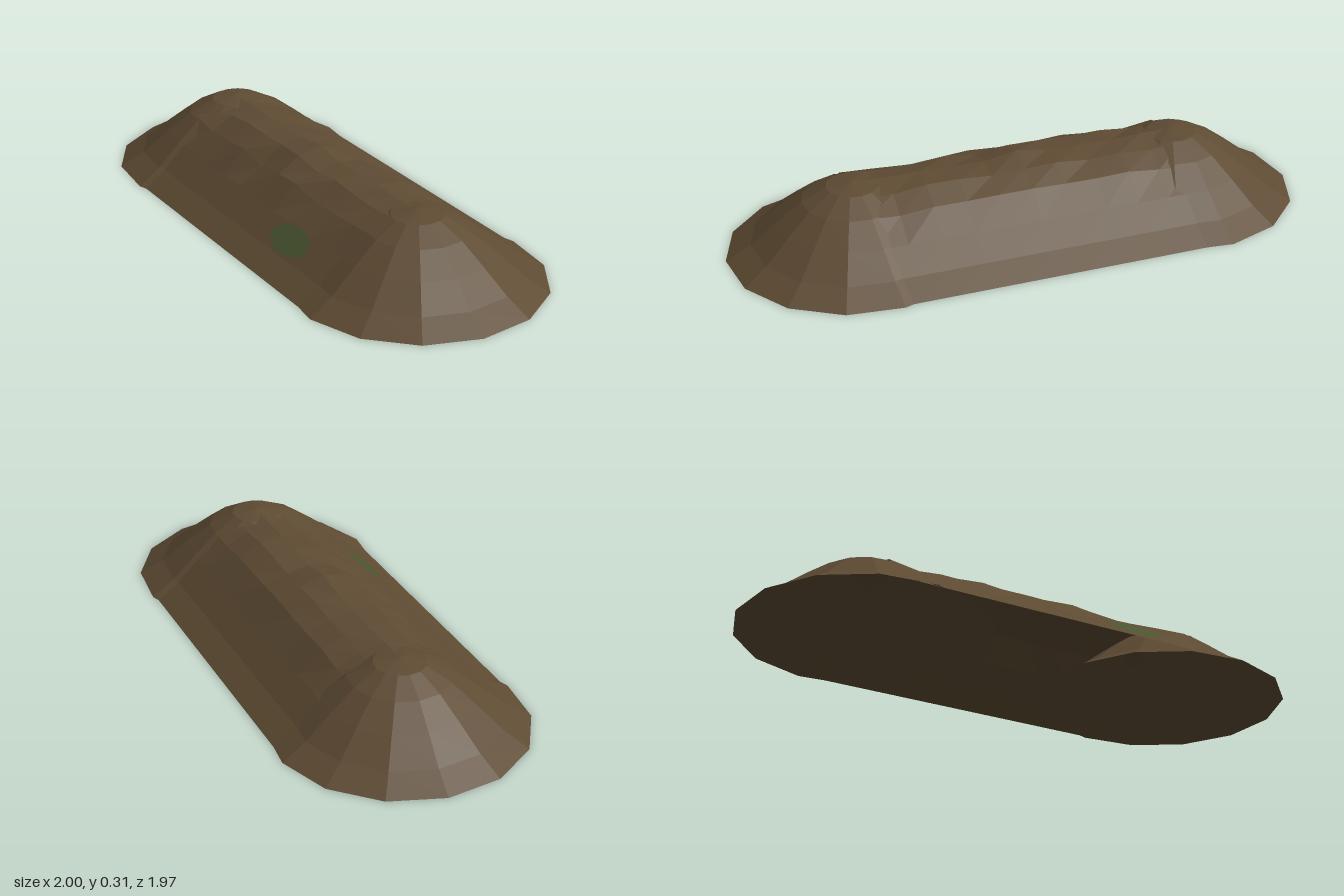
import * as THREE from 'three';

const earth = new THREE.MeshStandardMaterial({ color: 0x5e4b33, side: THREE.DoubleSide });
earth.name = 'earth brown';
const moss = new THREE.MeshStandardMaterial({ color: 0x4a5630, side: THREE.DoubleSide });
moss.name = 'moss green';

// Bell-shaped slope: [distance from the crest, height]
const SLOPE = [[0.515, 0], [0.415, 0.06], [0.31, 0.145], [0.205, 0.225], [0.105, 0.278], [0, 0.295]];
const END = 0.485; // x and z of the rounded ends
const HALF_LENGTH = END * Math.SQRT2;

function faceted(geometry) {
  const flat = geometry.toNonIndexed();
  flat.computeVertexNormals();
  return flat;
}

function addMesh(parent, name, geometry, material) {
  const mesh = new THREE.Mesh(geometry, material);
  mesh.name = name;
  parent.add(mesh);
  return mesh;
}

function seeded(seed) {
  return () => {
    seed = (seed * 16807) % 2147483647;
    return seed / 2147483647;
  };
}

// Long bank: a grid bent to the slope, with a slightly uneven crest
function bankGeometry() {
  const crest = [0.29, 0.288, 0.281, 0.284, 0.287, 0.305, 0.282, 0.283, 0.287, 0.284, 0.29];
  const random = seeded(41);
  const geometry = new THREE.PlaneGeometry(HALF_LENGTH * 2, 1, 10, 10);
  geometry.rotateX(-Math.PI / 2);
  const p = geometry.attributes.position;
  for (let i = 0; i < p.count; i++) {
    const column = i % 11;
    const ring = 5 - Math.abs(Math.floor(i / 11) - 5); // 0 at the foot, 5 at the crest
    const [distance, height] = SLOPE[ring];
    const rough = ring > 2 && ring < 5 ? (random() - 0.5) * 0.026 : 0;
    p.setZ(i, Math.sign(p.getZ(i)) * distance * 0.97);
    p.setY(i, ring === 5 ? crest[column] : height * 0.98 + rough);
  }
  return faceted(geometry);
}

export function createModel() {
  const model = new THREE.Group();
  model.name = 'earthMound';

  // Rounded ends
  const profile = SLOPE.map(([r, y]) => new THREE.Vector2(r, y));
  const dome = faceted(new THREE.LatheGeometry(profile, 14).rotateY(Math.PI / 2));
  for (const side of [-1, 1]) {
    const name = side < 0 ? 'backMoundEnd' : 'frontMoundEnd';
    addMesh(model, name, dome, earth).position.set(side * END, 0, side * END);
  }

  // Diagonal bank joining the ends, with a mossy patch on its slope
  const bank = new THREE.Group();
  bank.name = 'bank';
  bank.rotation.y = -Math.PI / 4;
  model.add(bank);
  addMesh(bank, 'bankSlope', bankGeometry(), earth);

  const patch = new THREE.CircleGeometry(1, 10);
  patch.scale(0.125, 0.066, 1);
  patch.rotateX(-Math.atan2(1, 0.83));
  addMesh(bank, 'mossPatch', patch, moss).position.set(0.335, 0.108, 0.352);

  return model;
}
